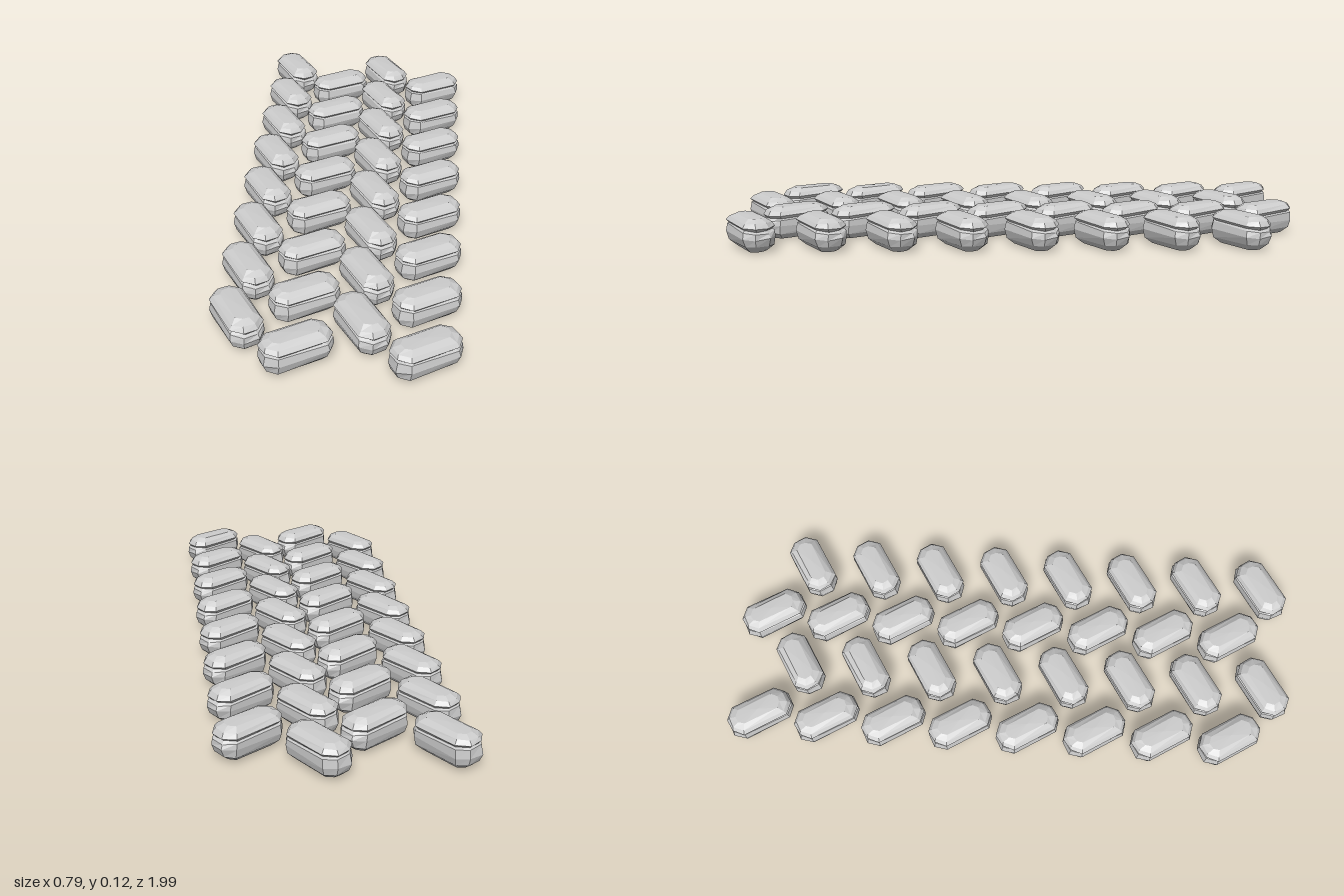
import * as THREE from 'three';

// Stone cross-sections from bottom to top: y, half length, half width, corner cut
const RINGS = [
  [0.002, 0.084, 0.030, 0.018],
  [0.022, 0.107, 0.049, 0.026],
  [0.050, 0.116, 0.058, 0.032],
  [0.073, 0.112, 0.055, 0.031],
  [0.080, 0.103, 0.048, 0.030], // seam
  [0.088, 0.113, 0.056, 0.032],
  [0.103, 0.104, 0.047, 0.029],
  [0.114, 0.080, 0.028, 0.018],
];

// Small repeatable chisel variation in -1..1
function seeded(seed) {
  return () => {
    seed = (seed * 16807) % 2147483647;
    return (seed / 2147483647) * 2 - 1;
  };
}

// One chipped stone: eight-sided rings stacked and capped
function stoneGeometry() {
  const rand = seeded(4711);
  const pos = [];
  const index = [];
  RINGS.forEach(([y, a, w, c], r) => {
    const outline = [
      [a, -(w - c)], [a, w - c], [a - c, w], [c - a, w],
      [-a, w - c], [-a, c - w], [c - a, -w], [a - c, -w],
    ];
    const inner = r > 0 && r < RINGS.length - 1;
    for (const [x, z] of outline) {
      const dy = inner ? rand() * 0.003 - (r > 2 && r < 6 ? x * 0.04 : 0) : 0;
      pos.push(x + rand() * 0.002, y + dy, z + rand() * 0.002);
    }
  });
  const n = 8;
  const last = (RINGS.length - 1) * n;
  const bottom = RINGS.length * n;
  const top = bottom + 1;
  pos.push(0, 0, 0, 0, 0.116, 0);
  for (let j = 0; j < n; j++) {
    const k = (j + 1) % n;
    for (let r = 0; r < last; r += n) {
      index.push(r + j, r + n + j, r + k, r + k, r + n + j, r + n + k);
    }
    index.push(bottom, j, k, top, last + k, last + j);
  }
  const geo = new THREE.BufferGeometry();
  geo.setAttribute('position', new THREE.Float32BufferAttribute(pos, 3));
  geo.setIndex(index);
  const flat = geo.toNonIndexed();
  flat.computeVertexNormals();
  return flat;
}

export function createModel() {
  const group = new THREE.Group();
  group.name = 'herringbonePaving';
  const material = new THREE.MeshStandardMaterial({ color: 0xcccccc, flatShading: true });
  const geometry = stoneGeometry();

  // Four columns with alternating direction: x, first z, turn in degrees
  const columns = [
    [-0.303, -0.89, -58],
    [-0.107, -0.77, 32],
    [0.083, -0.89, -58],
    [0.279, -0.77, 32],
  ];
  columns.forEach(([x, z, turn], c) => {
    const column = new THREE.Group();
    column.name = `stoneColumn${c + 1}`;
    for (let i = 0; i < 8; i++) {
      const stone = new THREE.Mesh(geometry, material);
      stone.name = `pavingStone${i + 1}`;
      stone.position.set(x, 0, z + i * 0.2385);
      stone.rotation.y = THREE.MathUtils.degToRad(turn);
      column.add(stone);
    }
    group.add(column);
  });
  return group;
}
